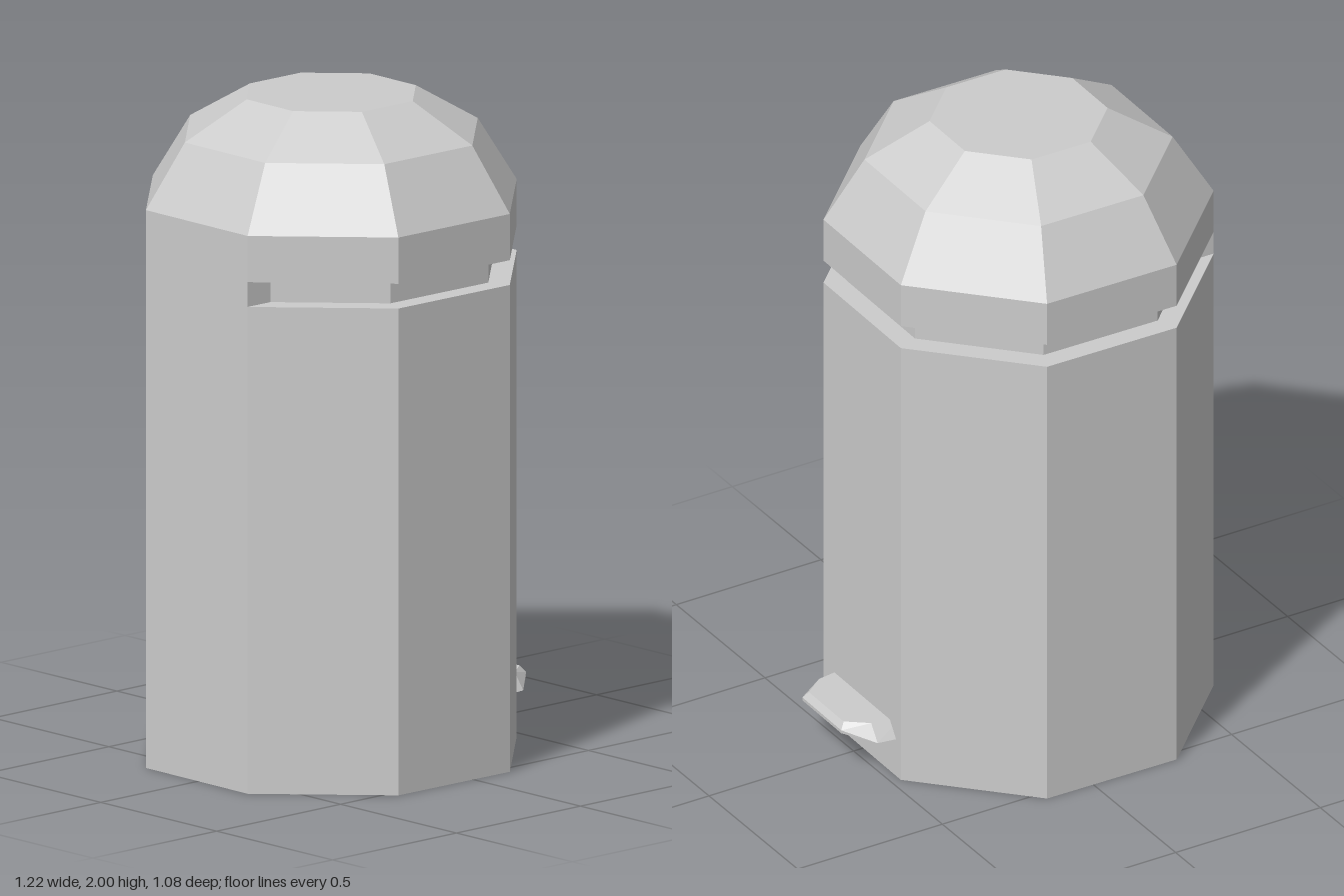
import * as THREE from 'three';
import { ConvexGeometry } from 'three/addons/geometries/ConvexGeometry.js';

const grey = new THREE.MeshStandardMaterial({ color: 0xcccccc, flatShading: true });

function part(name, geometry) {
  const mesh = new THREE.Mesh(geometry, grey);
  mesh.name = name;
  return mesh;
}

// Eight-sided solid from [radius, y] pairs, bottom to top
function octagon(name, profile) {
  const points = profile.map(([r, y]) => new THREE.Vector2(r, y));
  return part(name, new THREE.LatheGeometry(points, 8, Math.PI / 8));
}

export function createModel() {
  const R = 0.581, FLAT = R * Math.cos(Math.PI / 8);
  const bin = new THREE.Group();
  bin.name = 'pedalBin';

  bin.add(octagon('body', [[0, 0], [R, 0], [R, 1.475], [0, 1.475]]));
  bin.add(octagon('neck', [[0.511, 1.47], [0.511, 1.555]]));
  bin.add(octagon('lid', [[0, 1.55], [R, 1.55], [R, 1.69], [0.459, 1.885], [0.265, 2], [0, 2]]));

  // Hinge block closing the gap flush with the -x side
  const hinge = part('hinge', new THREE.BoxGeometry(0.1, 0.075, 0.444));
  hinge.position.set(-FLAT + 0.05, 1.5125, 0);
  bin.add(hinge);

  // Foot pedal: bevelled plate, mirrored in z
  const corners = [
    [0.5, 0.125, 0.2], [0.595, 0.125, 0.187], [0.675, 0.145, 0.112],
    [0.5, 0.175, 0.165], [0.595, 0.175, 0.15], [0.66, 0.175, 0.1], [0.675, 0.155, 0.112],
  ];
  const pedalPoints = corners.flatMap(([x, y, z]) =>
    [new THREE.Vector3(x, y, z), new THREE.Vector3(x, y, -z)]);
  bin.add(part('pedal', new ConvexGeometry(pedalPoints)));

  // Slight twist, shifted so that bin and pedal together are centred
  bin.rotation.y = -0.012;
  bin.position.x = -0.07;

  const model = new THREE.Group();
  model.add(bin);
  return model;
}
